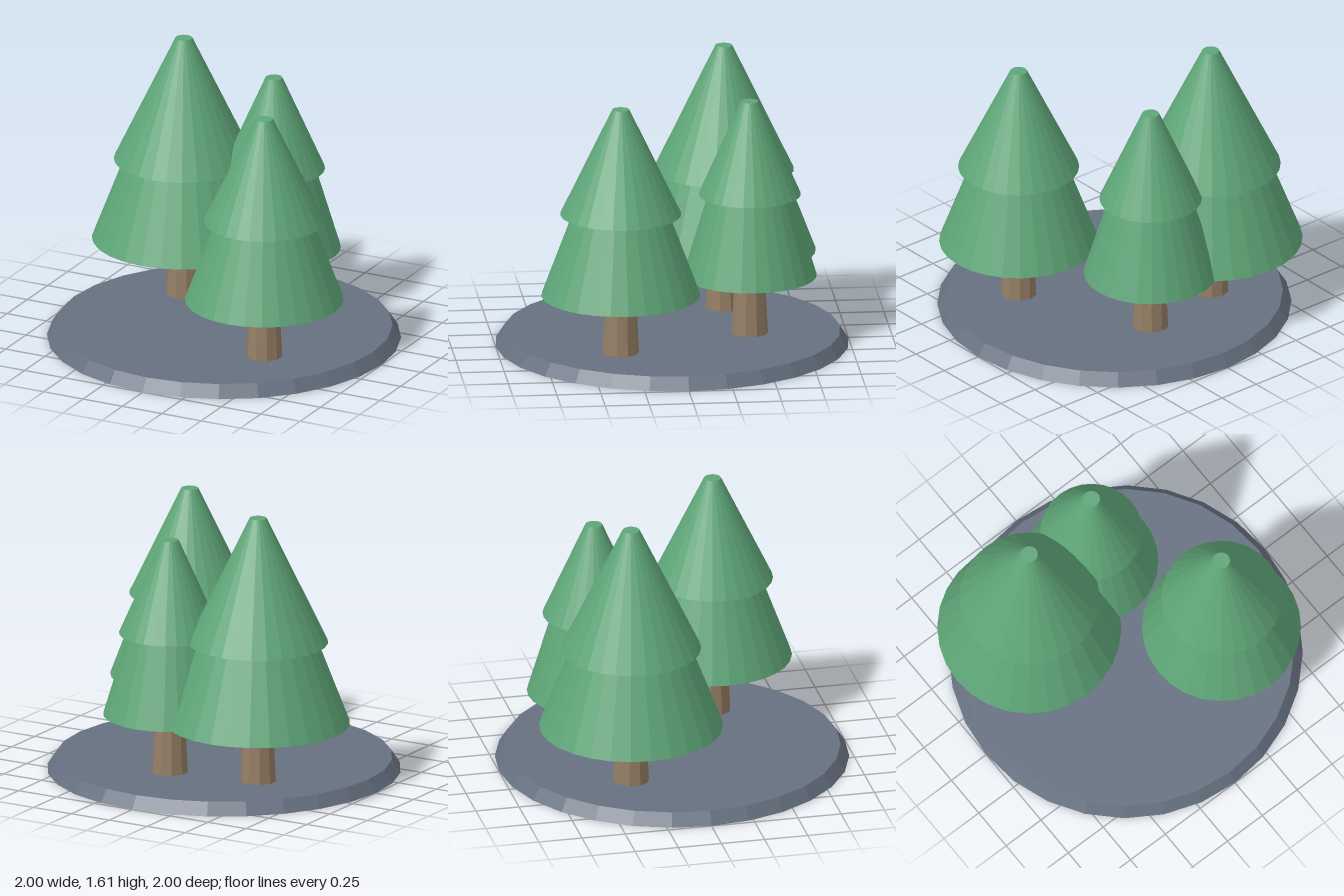
import * as THREE from 'three';

function material(name, color) {
  const m = new THREE.MeshStandardMaterial({ color, flatShading: true, side: THREE.DoubleSide });
  m.name = name;
  return m;
}

// Faceted shell turned around y from [radius, height] pairs
function turned(name, profile, sides, mat) {
  const points = profile.map(([r, y]) => new THREE.Vector2(r, y));
  const mesh = new THREE.Mesh(new THREE.LatheGeometry(points, sides), mat);
  mesh.name = name;
  return mesh;
}

export function createModel() {
  const model = new THREE.Group();
  model.name = 'treeGroup';
  const slate = material('slate', 0x667080);
  const bark = material('bark', 0x967f66);
  const green = material('green', 0x5fa678);

  // Round base, hollow underneath
  model.add(turned('base', [[1, 0], [0.952, 0.073], [0, 0.073]], 28, slate));

  const trees = [
    { name: 'largeTree', x: -0.428, z: -0.335, low: 0.52, mid: 0.337, up: 0.396, top: 1.613 },
    { name: 'frontTree', x: 0.427, z: 0.332, low: 0.449, mid: 0.272, up: 0.342, top: 1.5 },
    { name: 'smallTree', x: 0.094, z: -0.432, low: 0.378, mid: 0.235, up: 0.289, top: 1.432 },
  ];
  for (const t of trees) {
    const tree = new THREE.Group();
    tree.name = t.name;
    tree.position.set(t.x, 0, t.z);
    // Tapered trunk, passing through the base
    tree.add(turned('trunk', [[0.105, 0.035], [0.08, 0.535], [0, 0.535]], 10, bark));
    // Lower skirt runs on up inside the upper cone
    const inner = t.mid - (t.low - t.mid) * 0.25;
    tree.add(turned('lowerFoliage', [[t.low, 0.41], [inner, 1.005], [0, 1.005]], 28, green));
    tree.add(turned('upperFoliage', [[t.up, 0.886], [0.048, t.top], [0, t.top]], 28, green));
    model.add(tree);
  }
  return model;
}
